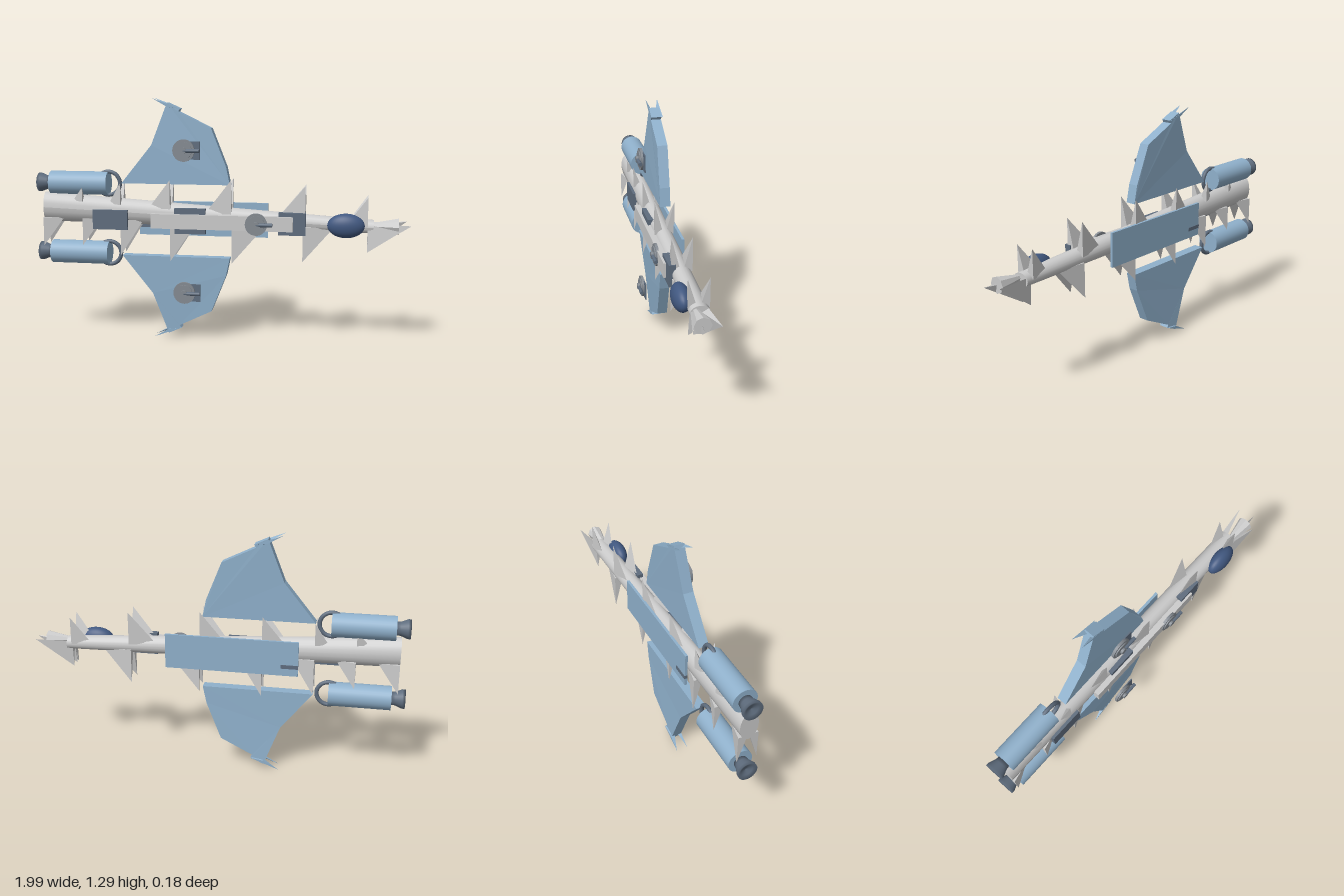
import * as THREE from 'three';
import { ConvexGeometry } from 'three/addons/geometries/ConvexGeometry.js';

const mat = (color, extra = {}) => new THREE.MeshStandardMaterial({ color, ...extra });
const CY = 0.65; // mirror line between the upper and lower halves
const CZ = -0.015; // middle of the hull in depth

export function createModel() {
  const model = new THREE.Group();
  const hull = mat(0xcccccc), flatHull = mat(0xcccccc, { flatShading: true, side: THREE.DoubleSide });
  const blue = mat(0x8fb0cb), flatBlue = mat(0x8fb0cb, { flatShading: true });
  const dark = mat(0x5f6d7e), navy = mat(0x415880), metal = mat(0x858b92);

  const add = (name, geometry, material, x = 0, y = 0, z = 0, parent = model) => {
    const mesh = new THREE.Mesh(geometry, material);
    mesh.name = name;
    mesh.position.set(x, y, z);
    parent.add(mesh);
    return mesh;
  };
  // box given by its limits
  const block = (name, material, x0, x1, y0, y1, z0, z1) =>
    add(name, new THREE.BoxGeometry(x1 - x0, y1 - y0, z1 - z0), material,
      (x0 + x1) / 2, (y0 + y1) / 2, (z0 + z1) / 2);
  // cylinder along x, r0 at the -x end and r1 at the +x end
  const tubeX = (r0, r1, length, sides = 32) =>
    new THREE.CylinderGeometry(r1, r0, length, sides).rotateZ(-Math.PI / 2);

  // spine: tapering oval hull
  const coreTop = x => 0.79 - 0.11 * (x + 0.96) / 1.73;
  const coreBottom = x => 0.63 - 0.02 * (x + 0.96) / 1.73;
  const spine = tubeX(1, 1, 1.76, 20).translate(-0.08, 0, 0);
  const p = spine.attributes.position;
  for (let i = 0; i < p.count; i++) {
    const x = p.getX(i), top = coreTop(x), bottom = coreBottom(x);
    p.setY(i, (top + bottom) / 2 + p.getY(i) * (top - bottom) / 2);
    p.setZ(i, CZ + p.getZ(i) * 0.048);
  }
  spine.computeVertexNormals();
  add('spine', spine, hull);

  // spikes: front and back pairs, steep on one side and sloping on the other
  const spike = (name, x, tipY, baseX, baseY) => {
    for (const z of [0.037, -0.068]) {
      const inner = CZ + (z - CZ) * 0.1;
      add(name, new ConvexGeometry([
        new THREE.Vector3(x, tipY, z),
        new THREE.Vector3(x, baseY, z),
        new THREE.Vector3(x, baseY, inner),
        new THREE.Vector3(baseX, baseY, (z + inner) / 2),
      ]), flatHull);
    }
  };
  // [station, tip height, length of slope]
  [[-0.74, 0.82, 0.06], [-0.53, 0.85, 0.07], [-0.26, 0.87, 0.12], [0.065, 0.875, 0.14],
    [0.45, 0.85, 0.15], [0.77, 0.8, 0.11]]
    .forEach(([x, y, l]) => spike('upperSpike', x, y, x - l, coreTop(x) - 0.03));
  [[-0.96, 0.5, 0.11], [-0.74, 0.51, 0.1], [-0.53, 0.46, 0.12], [-0.26, 0.435, 0.14],
    [0.07, 0.435, 0.18], [0.44, 0.455, 0.16]]
    .forEach(([x, y, l]) => spike('lowerSpike', x, y, x + l, coreBottom(x) + 0.025));

  // nose: splayed points and a small flared horn
  for (const [z, x, y] of [[0.055, 0.935, 0.63], [-0.07, 0.97, 0.665], [0.015, 0.99, 0.655]]) {
    add('nosePoint', new ConvexGeometry([
      new THREE.Vector3(x, y, z),
      new THREE.Vector3(0.77, 0.515, z * 0.6),
      new THREE.Vector3(0.77, 0.66, z * 0.6 - 0.008),
      new THREE.Vector3(0.77, 0.64, CZ),
    ]), flatHull);
  }
  add('noseHorn', tubeX(0.012, 0.042, 0.15, 8), flatHull, 0.85, 0.65, 0.005);

  // plates and boxes along the hull
  block('backPanel', blue, -0.45, 0.25, 0.56, 0.745, -0.076, -0.062);
  block('backHatch', dark, -0.45, -0.36, 0.6, 0.62, -0.079, -0.062);
  block('frontPlate', hull, -0.36, 0.39, 0.615, 0.692, 0.028, 0.062);
  block('rearBox', dark, -0.68, -0.49, 0.6, 0.705, 0.02, 0.048);
  block('middleBox', dark, -0.235, -0.07, 0.587, 0.722, 0.015, 0.045);
  block('foreBox', dark, 0.315, 0.455, 0.595, 0.712, 0.015, 0.05);

  // canopy
  add('canopy', new THREE.SphereGeometry(1, 32, 20), navy, 0.66, 0.653, 0.042).scale.set(0.095, 0.063, 0.045);

  // wings: bevel-free slabs leaning back toward the tips
  const wingOutline = [[-0.53, 0.845], [0.055, 0.845], [0.035, 0.94], [-0.045, 1.14],
    [-0.22, 1.225], [-0.21, 1.24], [-0.28, 1.272], [-0.365, 1.05]];
  const flip = s => y => CY + s * (y - CY);
  for (const s of [1, -1]) {
    const fy = flip(s);
    const shape = new THREE.Shape(wingOutline.map(([x, y]) => new THREE.Vector2(x, fy(y))));
    const wing = new THREE.ExtrudeGeometry(shape, { depth: 0.054, bevelEnabled: false, curveSegments: 1 });
    const w = wing.attributes.position;
    for (let i = 0; i < w.count; i++) {
      const t = (Math.abs(w.getY(i) - CY) - 0.195) / 0.42;
      w.setZ(i, w.getZ(i) - 0.048 - 0.012 * t * t);
    }
    wing.computeVertexNormals();
    add('wing', wing, flatBlue);

    // forked wing tip
    for (const z of [-0.004, -0.066]) {
      add('wingTip', new ConvexGeometry([
        new THREE.Vector3(-0.36, fy(1.295), z),
        new THREE.Vector3(-0.21, fy(1.24), z),
        new THREE.Vector3(-0.28, fy(1.25), z),
        new THREE.Vector3(-0.25, fy(1.235), -0.032),
      ]), flatBlue);
    }
  }

  // engines with nozzle and front loop
  for (const s of [1, -1]) {
    const engine = new THREE.Group();
    engine.name = 'engine';
    engine.position.set(0, CY + s * 0.19, -0.028);
    model.add(engine);
    add('engineBody', tubeX(0.063, 0.063, 0.32), blue, -0.77, 0, 0, engine);
    const bell = [[0, -0.93], [0.034, -0.93], [0.036, -0.95], [0.05, -0.985], [0.05, -1], [0.03, -0.99], [0, -0.98]]
      .map(([r, x]) => new THREE.Vector2(r, x));
    const nozzle = new THREE.LatheGeometry(bell, 28).rotateZ(-Math.PI / 2);
    add('nozzle', nozzle, mat(0x5f6d7e, { side: THREE.DoubleSide }), 0, 0, 0, engine);
    add('engineLoop', new THREE.TorusGeometry(0.063, 0.011, 12, 40), dark, -0.61, 0, 0, engine);
  }

  // turrets: disc, hub, rim and barrel
  const turret = (x, y, z) => {
    const group = new THREE.Group();
    group.name = 'turret';
    group.position.set(x, y, z);
    model.add(group);
    const disc = (name, r, depth, dz) =>
      add(name, new THREE.CylinderGeometry(r, r, depth, 28).rotateX(Math.PI / 2), metal, 0, 0, dz, group);
    disc('turretDisc', 0.058, 0.014, 0.007);
    disc('turretStep', 0.045, 0.008, 0.016);
    disc('turretHub', 0.017, 0.018, 0.024);
    add('barrel', tubeX(0.01, 0.01, 0.085, 12), dark, 0.043, 0, 0.024, group);
  };
  for (const s of [1, -1]) {
    const y = CY + s * 0.378;
    turret(-0.18, y, 0.053);
    block('turretBase', dark, -0.185, -0.095, y - 0.047, y + 0.047, 0.05, 0.056);
  }
  turret(0.2, CY, 0.053);

  return model;
}
